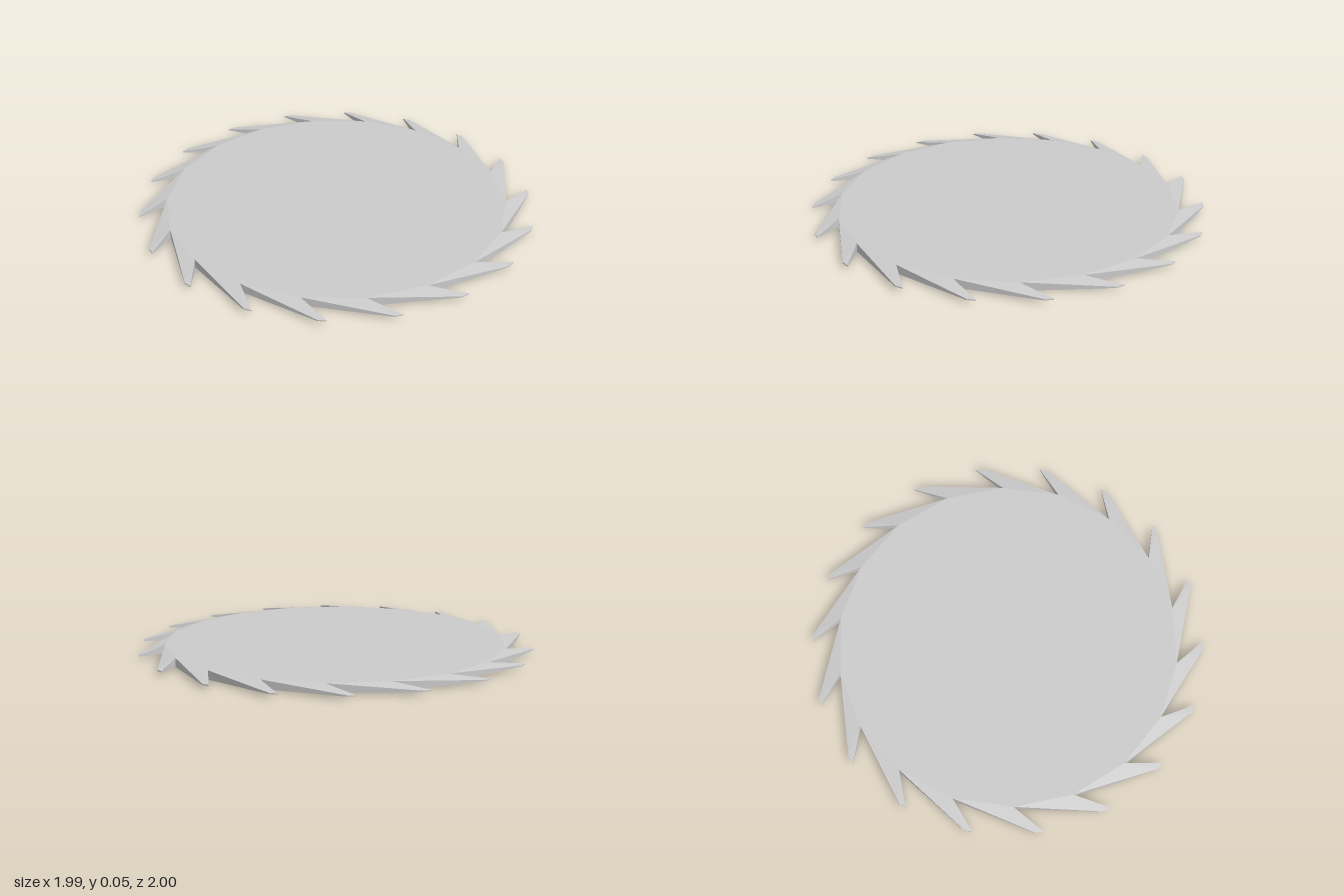
import * as THREE from 'three';

const TEETH = 18, R = 0.867, H = 0.045, MID = H / 2, TIP = 0.003;
const STEP = (Math.PI * 2) / TEETH;

// One raked tooth: outline in (x, z), full thickness at the root, thin at the tip
function toothGeometry() {
  const outline = [
    [R, 0, MID],
    [R * Math.cos(STEP), R * Math.sin(STEP), MID],
    [0.995, -0.105, TIP],
    [0.99, -0.145, TIP],
  ];
  const top = outline.map(([x, z, h]) => [x, MID + h, z]);
  const bottom = outline.map(([x, z, h]) => [x, MID - h, z]);
  const pos = [];
  const quad = (a, b, c, d) => pos.push(...a, ...b, ...c, ...a, ...c, ...d);
  quad(...top);
  quad(bottom[0], bottom[3], bottom[2], bottom[1]);
  // long back, blunt tip and short cutting face; the root stays open on the disc
  for (let i = 1; i < 4; i++) {
    const j = (i + 1) % 4;
    quad(bottom[i], bottom[j], top[j], top[i]);
  }
  const geo = new THREE.BufferGeometry();
  geo.setAttribute('position', new THREE.Float32BufferAttribute(pos, 3));
  geo.computeVertexNormals();
  return geo;
}

export function createModel() {
  const group = new THREE.Group();
  group.name = 'sawBlade';
  const material = new THREE.MeshStandardMaterial({ color: 0xcccccc, flatShading: true });

  // Flat faces of the disc
  const face = new THREE.CircleGeometry(R, TEETH);
  for (const [name, y, turn] of [['discTop', H, -1], ['discBottom', 0, 1]]) {
    const mesh = new THREE.Mesh(face, material);
    mesh.name = name;
    mesh.rotation.x = turn * Math.PI / 2;
    mesh.position.y = y;
    group.add(mesh);
  }

  // Ring of teeth
  const teeth = new THREE.Group();
  teeth.name = 'teeth';
  const geo = toothGeometry();
  for (let i = 0; i < TEETH; i++) {
    const tooth = new THREE.Mesh(geo, material);
    tooth.name = 'tooth';
    tooth.rotation.y = i * STEP;
    teeth.add(tooth);
  }
  group.add(teeth);
  return group;
}
